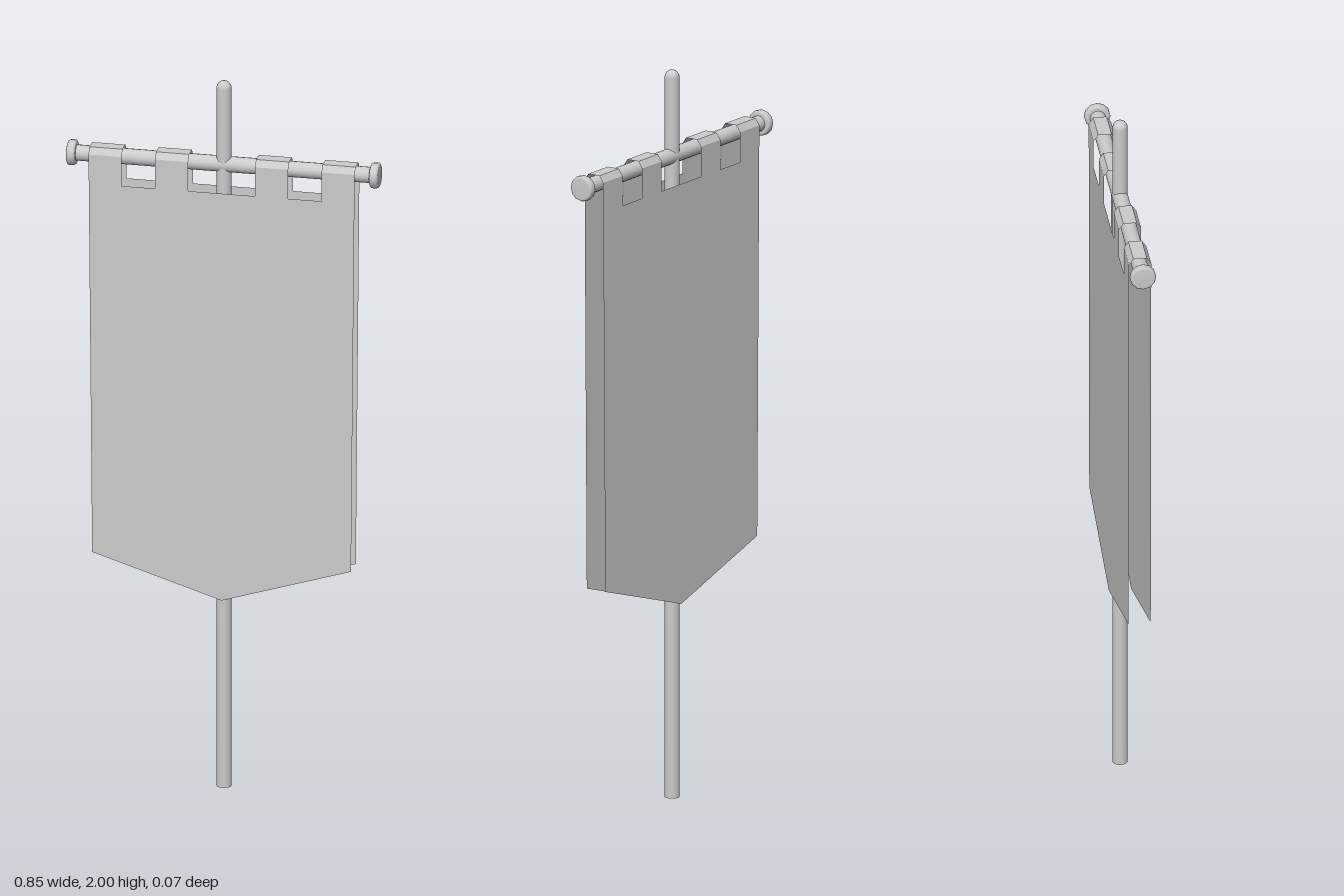
import * as THREE from 'three';

const material = new THREE.MeshStandardMaterial({ color: 0xcccccc });
const cloth = new THREE.MeshStandardMaterial({ color: 0xcccccc, side: THREE.DoubleSide, flatShading: true });

const BAR_Y = 1.764, GAP = 0.03, TAB_TOP = 1.772, SLOT_Y = 1.69;
const TABS = [[-0.362, -0.272], [-0.181, -0.091], [0.091, 0.181], [0.272, 0.362]];

function add(parent, name, geometry, mat = material) {
  const mesh = new THREE.Mesh(geometry, mat);
  mesh.name = name;
  parent.add(mesh);
  return mesh;
}

function lathe(points, sides) {
  return new THREE.LatheGeometry(points.map(([r, y]) => new THREE.Vector2(r, y)), sides);
}

// Pointed cloth outline with tabs along the top edge
function clothShape() {
  const shape = new THREE.Shape();
  shape.moveTo(0, 0.535);
  shape.lineTo(0.352, 0.645);
  [...TABS].reverse().forEach(([left, right], i) => {
    if (i > 0) shape.lineTo(right, SLOT_Y);
    shape.lineTo(right, TAB_TOP);
    shape.lineTo(left, TAB_TOP);
    if (i < TABS.length - 1) shape.lineTo(left, SLOT_Y);
  });
  shape.lineTo(-0.352, 0.645);
  shape.closePath();
  return shape;
}

// Folded strip that carries a tab over the crossbar
function loopGeometry(left, right) {
  const fold = [[GAP, TAB_TOP], [0.018, 1.79], [-0.018, 1.79], [-GAP, TAB_TOP]];
  const positions = [], index = [];
  fold.forEach(([z, y], i) => {
    positions.push(left, y, z, right, y, z);
    const a = i * 2;
    if (i < fold.length - 1) index.push(a, a + 1, a + 3, a, a + 3, a + 2);
  });
  const geometry = new THREE.BufferGeometry();
  geometry.setAttribute('position', new THREE.Float32BufferAttribute(positions, 3));
  geometry.setIndex(index);
  geometry.computeVertexNormals();
  return geometry;
}

export function createModel() {
  const group = new THREE.Group();
  group.name = 'banner';

  // Upright pole with a domed top
  const r = 0.0205;
  const dome = [0, 1, 2, 3, 4].map(i => {
    const a = (i / 4) * Math.PI / 2;
    return [r * Math.cos(a), 2 - r + r * Math.sin(a)];
  });
  add(group, 'pole', lathe([[r, 0], ...dome], 16));
  add(group, 'poleBase', new THREE.CircleGeometry(r, 16)).rotation.x = Math.PI / 2;

  // Crossbar with a rounded stop at each end
  const bar = add(group, 'crossbar', new THREE.CylinderGeometry(0.0215, 0.0215, 0.82, 16));
  bar.rotation.z = Math.PI / 2;
  bar.position.y = BAR_Y;
  const stop = [[0, 0], [0.029, 0], [0.033, 0.002], [0.035, 0.006], [0.035, 0.018],
    [0.033, 0.022], [0.029, 0.024], [0, 0.024]];
  for (const side of [-1, 1]) {
    const mesh = add(group, side > 0 ? 'leftStop' : 'rightStop', lathe(stop, 12));
    mesh.rotation.z = -side * Math.PI / 2;
    mesh.position.set(side * 0.4, BAR_Y, 0);
  }

  // Front and back cloth, joined by loops over the bar
  const sheet = new THREE.ShapeGeometry(clothShape());
  add(group, 'frontCloth', sheet, cloth).position.z = GAP;
  const back = add(group, 'backCloth', sheet, cloth);
  back.position.z = -GAP;
  back.rotation.y = Math.PI;
  TABS.forEach(([left, right]) => add(group, 'clothLoop', loopGeometry(left, right), cloth));

  return group;
}
